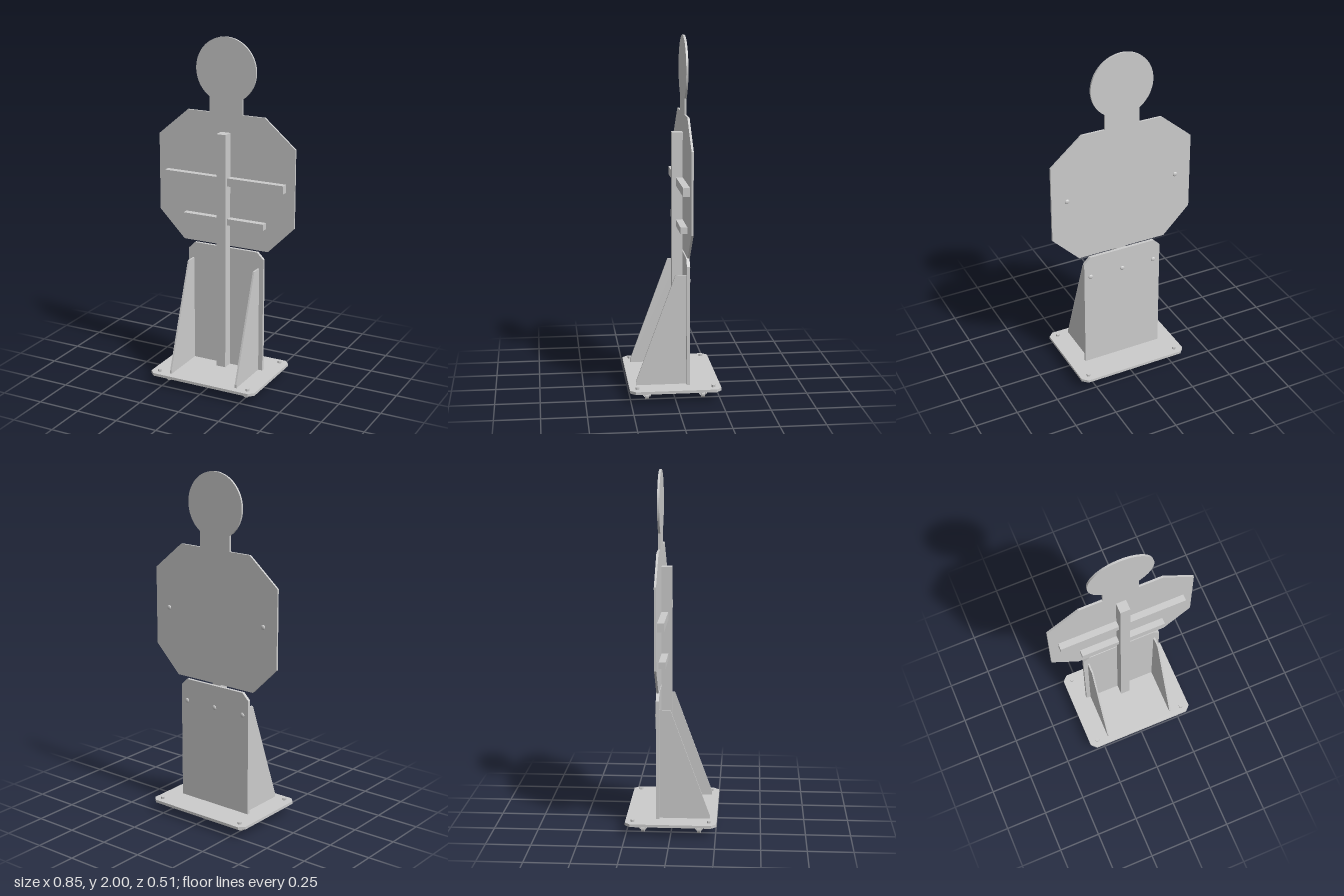
import * as THREE from 'three';

const grey = new THREE.MeshStandardMaterial({ color: 0xcccccc, flatShading: true });
const smooth = new THREE.MeshStandardMaterial({ color: 0xcccccc });

export function createModel() {
  const model = new THREE.Group();

  const add = (name, geometry, x = 0, y = 0, z = 0, material = grey, parent = model) => {
    const mesh = new THREE.Mesh(geometry, material);
    mesh.name = name;
    mesh.position.set(x, y, z);
    parent.add(mesh);
    return mesh;
  };
  // Box given by its limits on each axis
  const block = (name, x0, x1, y0, y1, z0, z1) =>
    add(name, new THREE.BoxGeometry(x1 - x0, y1 - y0, z1 - z0), (x0 + x1) / 2, (y0 + y1) / 2, (z0 + z1) / 2);
  const plate = (shape, depth) =>
    new THREE.ExtrudeGeometry(shape, { depth, bevelEnabled: false, curveSegments: 48 });
  const outline = (points) => new THREE.Shape(points.map(([x, y]) => new THREE.Vector2(x, y)));

  // Base plate with clipped corners
  const bx = 0.333, bz = 0.255, c = 0.03;
  const base = plate(outline([
    [-bx + c, -bz], [bx - c, -bz], [bx, -bz + c], [bx, bz - c],
    [bx - c, bz], [-bx + c, bz], [-bx, bz - c], [-bx, -bz + c],
  ]), 0.016).rotateX(-Math.PI / 2);
  add('basePlate', base, 0, 0.054, 0);

  // Lower body plate
  add('lowerPlate', plate(outline([
    [-0.24, 0.07], [0.24, 0.07], [0.24, 0.75], [0.2, 0.79], [-0.2, 0.79], [-0.24, 0.75],
  ]), 0.018), 0, 0, -0.085);

  // Torso, neck and round head cut from one sheet
  const headY = 1.815, headR = 0.185, neck = 0.103;
  const a = Math.acos(neck / headR);
  const body = outline([
    [-0.267, 0.803], [0.267, 0.803], [0.426, 0.963], [0.426, 1.415], [0.24, 1.573], [neck, 1.573],
  ]);
  body.lineTo(neck, headY - Math.sin(a) * headR);
  body.absarc(0, headY, headR, -a, Math.PI + a, false);
  body.lineTo(-neck, 1.573);
  body.lineTo(-0.24, 1.573);
  body.lineTo(-0.426, 1.415);
  body.lineTo(-0.426, 0.963);
  add('torsoAndHead', plate(body, 0.012), 0, 0, -0.079);

  // Upright post and cross bars
  block('post', -0.029, 0.029, 0.07, 1.466, -0.067, -0.008);
  for (const s of [-1, 1]) {
    block('upperCrossBar', s < 0 ? -0.373 : 0.029, s < 0 ? -0.029 : 0.373, 1.166, 1.213, -0.067, -0.029);
    block('lowerCrossBar', s < 0 ? -0.253 : 0.029, s < 0 ? -0.029 : 0.253, 0.937, 0.974, -0.067, -0.029);
  }

  // Side gussets, drawn in (-z, y) and turned to stand along z
  const gusset = plate(outline([
    [-0.215, 0.07], [0.067, 0.07], [0.067, 0.695], [0.006, 0.695], [-0.215, 0.09],
  ]), 0.01).rotateY(Math.PI / 2);
  for (const s of [-1, 1]) add('gusset', gusset, s * 0.209 - 0.005, 0, 0);

  // Domed bolt heads on the back
  const dome = new THREE.SphereGeometry(0.014, 16, 6, 0, Math.PI * 2, 0, Math.PI / 2)
    .scale(1, 0.5, 1).rotateX(-Math.PI / 2);
  for (const x of [-0.333, 0.333]) add('torsoBolt', dome, x, 1.19, -0.079, smooth);
  for (const x of [-0.2, 0, 0.2]) add('lowerBolt', dome, x, 0.66, -0.085, smooth);

  // Hex bolts on the base and casters beneath it
  const hex = new THREE.CylinderGeometry(0.012, 0.012, 0.013, 6);
  const wheel = new THREE.CylinderGeometry(0.023, 0.023, 0.02, 24).rotateX(Math.PI / 2);
  const forkTop = new THREE.BoxGeometry(0.036, 0.006, 0.044);
  const forkArm = new THREE.BoxGeometry(0.02, 0.034, 0.005);
  const axle = new THREE.CylinderGeometry(0.005, 0.005, 0.044, 12).rotateX(Math.PI / 2);
  for (const sx of [-1, 1]) for (const sz of [-1, 1]) {
    add('baseBolt', hex, sx * 0.283, 0.0765, sz * 0.213);
    const caster = new THREE.Group();
    caster.name = 'caster';
    caster.position.set(sx * 0.25, 0, sz * 0.157);
    model.add(caster);
    add('wheel', wheel, 0, 0.023, 0, grey, caster);
    add('forkTop', forkTop, 0, 0.051, 0, grey, caster);
    add('axle', axle, 0, 0.023, 0, grey, caster);
    for (const s of [-1, 1]) add('forkArm', forkArm, 0, 0.033, s * 0.015, grey, caster);
  }
  return model;
}
